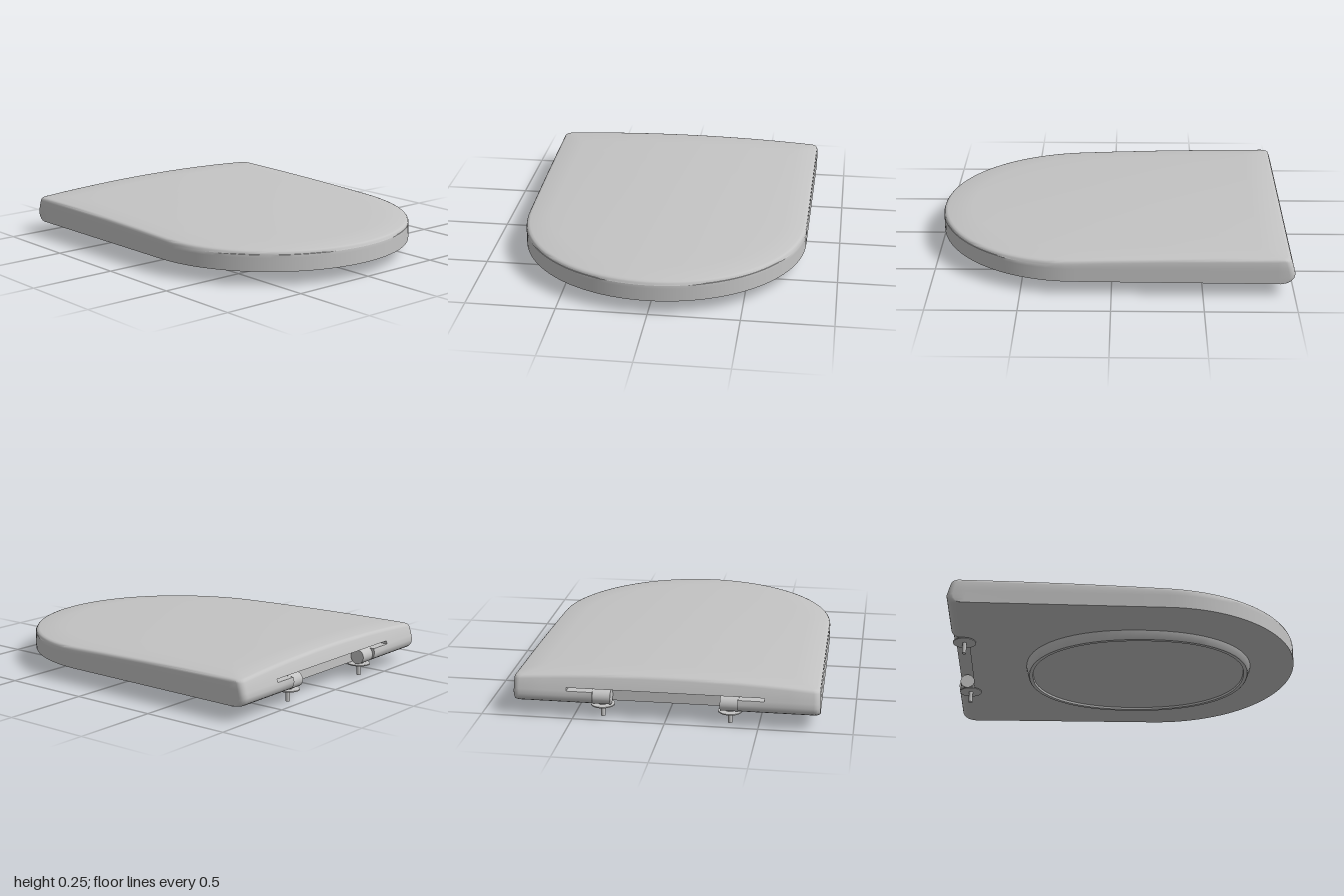
import * as THREE from 'three';
import { toCreasedNormals } from 'three/addons/utils/BufferGeometryUtils.js';

const clamp = THREE.MathUtils.clamp;

// Skin a list of closed rings (each a list of [x, y, z]) with equal point counts
function loft(rings, crease = 0.6) {
  const n = rings[0].length, index = [];
  for (let j = 0; j < rings.length - 1; j++) {
    for (let i = 0; i < n; i++) {
      const a = j * n + i, b = j * n + (i + 1) % n, c = a + n, d = b + n;
      index.push(a, c, b, b, c, d);
    }
  }
  const g = new THREE.BufferGeometry();
  g.setAttribute('position', new THREE.Float32BufferAttribute(rings.flat(2), 3));
  g.setIndex(index);
  return toCreasedNormals(g, crease);
}

// D-shaped plan: straight back, small back corners, half-ellipse front
function outline() {
  const half = [0.13, 0.26, 0.389, 0.391, 0.529, 0.531, 0.66].map(x => [x, -1]);
  for (let i = 0; i <= 5; i++) {
    const a = i / 5 * Math.PI / 2;
    half.push([0.79 + 0.035 * Math.sin(a), -0.965 - 0.035 * Math.cos(a)]);
  }
  for (const z of [-0.9, -0.6, -0.3, 0]) half.push([0.8125 - 0.0125 * z, z]);
  for (let i = 0; i < 24; i++) {
    const a = i / 24 * Math.PI / 2;
    half.push([0.81 * Math.cos(a), 0.2 + 0.795 * Math.sin(a)]);
  }
  const mirrored = half.map(([x, z]) => [-x, z]).reverse();
  return [[0, -1], ...half, [0, 0.995], ...mirrored];
}

// Gently crowned top surface
const topY = (x, z) => 0.255 - 0.06 * ((z + 0.97) / 1.97) ** 2 - 0.03 * (x / 0.82) ** 2;

// Forward shift of the back wall at a given height: rounded foot, leaning upper part
function backShift(y) {
  if (y < 0.13) return 0.05 * (1 - Math.sqrt(1 - ((0.13 - y) / 0.05) ** 2));
  return 0.03 * (y - 0.13) / 0.12;
}

// One point of the body, with the hinge recess cut to the given half-width
function bodyPoint([x, z], y, recess) {
  if (z < -0.99 && Math.abs(x) < recess) return [x, y, -0.9];
  return [x, y, z + backShift(y) * clamp((-z - 0.9) / 0.07, 0, 1)];
}

export function createModel() {
  const group = new THREE.Group();
  const grey = new THREE.MeshStandardMaterial({ color: 0xc4c4c4 });
  grey.name = 'lightGrey';
  const add = (name, geometry, x = 0, y = 0, z = 0) => {
    const mesh = new THREE.Mesh(geometry, grey);
    mesh.name = name;
    mesh.position.set(x, y, z);
    group.add(mesh);
    return mesh;
  };

  // Seat and lid body: wall with hinge recess and slot, soft rim, crowned top
  const plan = outline();
  const wall = [[0.08, 0.39], [0.084, 0.39], [0.093, 0.39], [0.108, 0.39], [0.13, 0.39], [0.155, 0.39],
    [0.155, 0.53], [0.173, 0.53], [0.173, 0]];
  const rings = wall.map(([y, recess]) => plan.map(p => bodyPoint(p, y, recess)));
  for (const [drop, inset] of [[0.02, 0.002], [0.011, 0.004], [0.004, 0.01], [0, 0.022]]) {
    rings.push(plan.map(([x, z]) => {
      const px = x * (1 - inset / 0.82), pz = z * (1 - inset);
      const y = Math.max(0.173, topY(x, z) - drop);
      return [px, y, pz + backShift(y) * clamp((-z - 0.9) / 0.07, 0, 1)];
    }));
  }
  const edge = rings[rings.length - 1];
  for (const s of [0.85, 0.7, 0.5, 0.3, 0.15, 0]) {
    rings.push(edge.map(([x, , z]) => [x * s, topY(x * s, z * s), z * s]));
  }
  add('lidAndSeat', loft(rings));

  // Flat underside, following the recessed outline
  const base = new THREE.Shape(rings[0].map(([x, , z]) => new THREE.Vector2(x, z)));
  add('underside', new THREE.ShapeGeometry(base).rotateX(Math.PI / 2), 0, 0.08, 0);

  // Tapered oval boss below, with a narrow rim around a shallow recess
  const oval = (rx, rz, lift, flat) => Array.from({ length: 64 }, (_, i) => {
    const a = i / 64 * Math.PI * 2, e = 2 / 2.2;
    const s = Math.sin(a), c = -Math.cos(a);
    const x = rx * Math.sign(s) * Math.abs(s) ** e;
    const z = 0.08 + rz * Math.sign(c) * Math.abs(c) ** e;
    return [x, flat ?? 0.029 + 0.0125 * z + lift, z];
  });
  add('ovalBoss', loft([
    oval(0, 0, 0.012), oval(0.485, 0.618, 0.012), oval(0.488, 0.621, 0),
    oval(0.508, 0.641, 0), oval(0.513, 0.646, 0.005), oval(0.525, 0.66, 0, 0.081),
  ]));

  // Hinges: barrel in the recess, washer and fixing pin below
  for (const side of [-1, 1]) {
    const x = side * 0.345;
    add('hingeBarrel', new THREE.CylinderGeometry(0.042, 0.042, 0.1, 24).rotateZ(Math.PI / 2), x, 0.118, -0.945);
    add('hingePost', new THREE.CylinderGeometry(0.025, 0.025, 0.05, 20), x, 0.09, -0.925);
    add('hingeWasher', new THREE.CylinderGeometry(0.065, 0.065, 0.006, 28), x, 0.068, -0.925);
    add('hingePin', new THREE.CylinderGeometry(0.012, 0.012, 0.08, 16), x, 0.04, -0.925);
  }
  return group;
}
